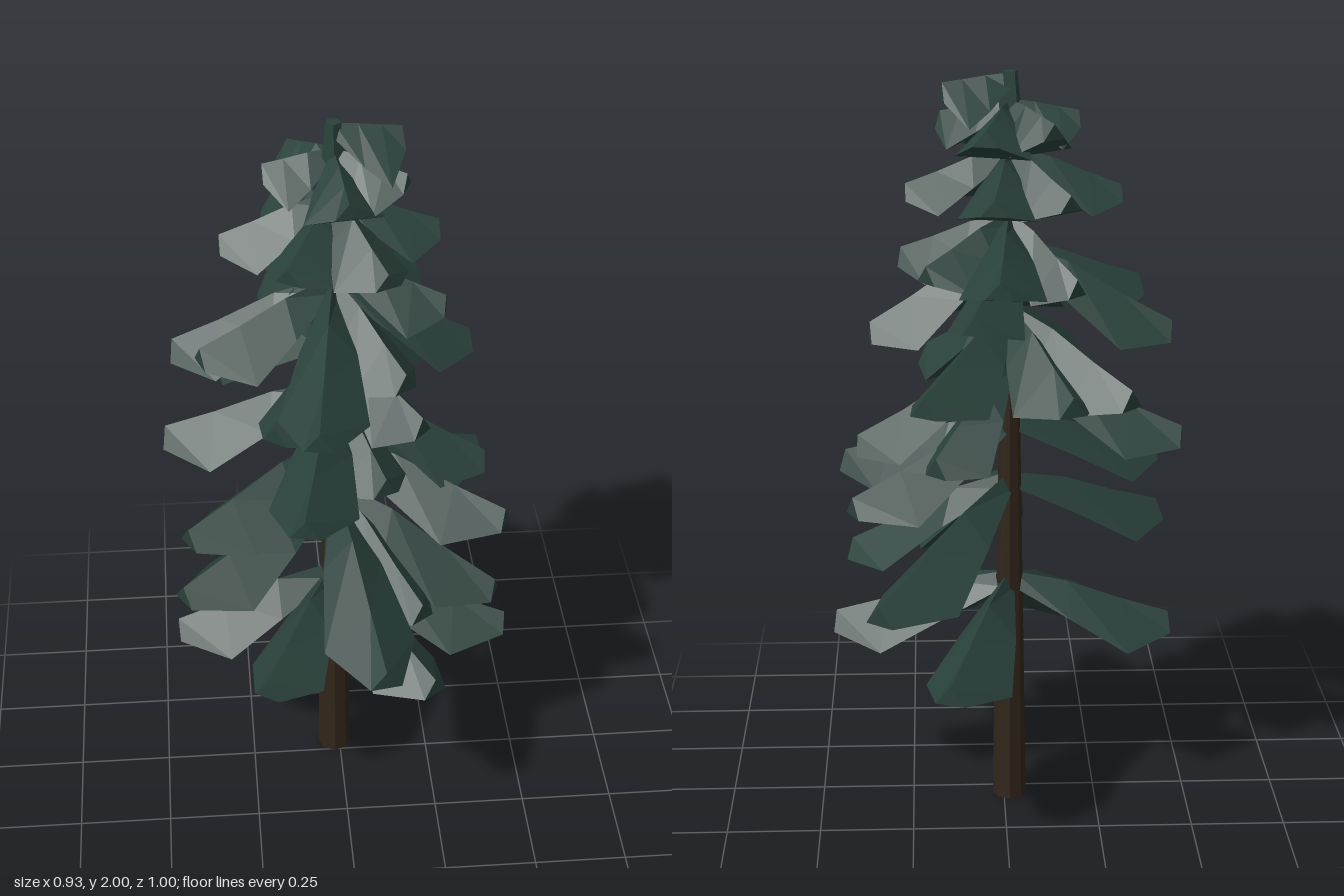
import * as THREE from 'three';

const needleGreen = new THREE.MeshStandardMaterial({ color: 0x2a413b, flatShading: true });
needleGreen.name = 'needle green';
const barkBrown = new THREE.MeshStandardMaterial({ color: 0x30251a, flatShading: true });
barkBrown.name = 'bark brown';

// Trunk axis position
const CX = -0.015, CZ = -0.041;

// Each tier: height at the trunk, thickness scale, then the ridge tip [x, y, z] of every bough
const tiers = [
  [0.66, 1, [[0.15, 0.52, -0.475], [0.455, 0.52, 0.04], [0.235, 0.495, 0.285], [-0.22, 0.5, 0.27], [-0.45, 0.52, 0]]],
  [0.94, 1, [[0.325, 0.74, -0.475], [0.08, 0.71, 0.495], [-0.43, 0.78, 0.19], [0.41, 0.7, 0.12], [0.2, 0.72, 0.24]]],
  [1.1, 1, [[0.395, 0.94, -0.225], [-0.41, 0.96, 0.18], [0.425, 0.95, 0.14]]],
  [1.26, 1, [[-0.46, 1.09, -0.115], [0.385, 1.04, -0.01], [-0.12, 1.13, 0.4], [0.1, 1.12, 0.22], [0.18, 1.05, -0.25]]],
  [1.4, 1, [[-0.16, 1.25, -0.385], [-0.31, 1.25, -0.325], [0.2, 1.25, 0.14], [0.21, 1.25, -0.38], [-0.18, 1.27, 0.18]]],
  [1.57, 1, [[-0.43, 1.37, -0.1], [0.345, 1.37, -0.09], [-0.08, 1.37, 0.37], [-0.36, 1.45, 0.08], [0.08, 1.43, -0.28], [0.15, 1.41, 0.18]]],
  [1.64, 0.9, [[0.265, 1.54, 0.02], [0.02, 1.54, -0.37], [0.2, 1.54, -0.2], [-0.18, 1.5, -0.19]]],
  [1.81, 0.8, [[-0.3, 1.71, -0.03], [0.25, 1.72, -0.05], [0.1, 1.71, 0.2], [0.03, 1.72, -0.28], [-0.14, 1.71, 0.16], [-0.16, 1.72, -0.22]]],
  [1.93, 0.8, [[-0.19, 1.9, -0.03], [0.01, 1.87, 0.14], [0.16, 1.89, 0.03], [0.05, 1.88, -0.22], [-0.12, 1.89, -0.18]]],
];

// Stations along a bough: [distance, half-width fraction, drop fraction, ridge height]
const stations = [[0.02, 0.15, 0, 0.04], [0.36, 0.64, 0.26, 0.085], [0.7, 1, 0.68, 0.115], [1, 0.34, 1, 0.05]];

// Roof-shaped bough with a ridge, two low edges and a flat underside
function makeBough(name, baseY, [x, y, z], thickness, extraWidth = 0) {
  const dx = x - CX, dz = z - CZ, length = Math.hypot(dx, dz);
  const halfWidth = 0.09 + 0.06 * length + extraWidth;
  const px = -dz / length, pz = dx / length;
  const positions = [], index = [];
  for (const [t, widthPart, drop, height] of stations) {
    const ridgeY = baseY + (y - baseY) * drop;
    const cx = CX + dx * t, cz = CZ + dz * t, w = halfWidth * widthPart;
    positions.push(cx, ridgeY, cz);
    for (const s of [1, -1]) positions.push(cx + s * px * w, ridgeY - height * thickness, cz + s * pz * w);
  }
  for (let i = 0; i < stations.length - 1; i++) {
    for (let k = 0; k < 3; k++) {
      const a = i * 3 + k, b = i * 3 + (k + 1) % 3;
      index.push(a, b, b + 3, a, b + 3, a + 3);
    }
  }
  const e = (stations.length - 1) * 3;
  index.push(0, 2, 1, e, e + 1, e + 2);
  const indexed = new THREE.BufferGeometry();
  indexed.setAttribute('position', new THREE.Float32BufferAttribute(positions, 3));
  indexed.setIndex(index);
  const geometry = indexed.toNonIndexed();
  geometry.computeVertexNormals();
  const mesh = new THREE.Mesh(geometry, needleGreen);
  mesh.name = name;
  return mesh;
}

// Tapered trunk section between two heights
function makeStem(name, y0, y1, r0, r1, sides, material) {
  const mesh = new THREE.Mesh(new THREE.CylinderGeometry(r1, r0, y1 - y0, sides), material);
  mesh.position.set(CX, (y0 + y1) / 2, CZ);
  mesh.name = name;
  return mesh;
}

export function createModel() {
  const model = new THREE.Group();
  model.name = 'conifer';

  model.add(makeStem('trunk', 0, 1.52, 0.046, 0.021, 8, barkBrown));
  model.add(makeStem('upperStem', 1.5, 1.88, 0.022, 0.018, 6, needleGreen));
  model.add(makeStem('treeTop', 1.86, 2, 0.036, 0.02, 5, needleGreen));

  tiers.forEach(([baseY, thickness, tips], i) => {
    const tier = new THREE.Group();
    tier.name = `boughTier${i + 1}`;
    for (const tip of tips) tier.add(makeBough('bough', baseY, tip, thickness));
    model.add(tier);
  });

  // Small raised bough beside the top
  model.add(makeBough('raisedBough', 1.995, [0.155, 1.975, -0.06], 0.9, 0.035));

  return model;
}
